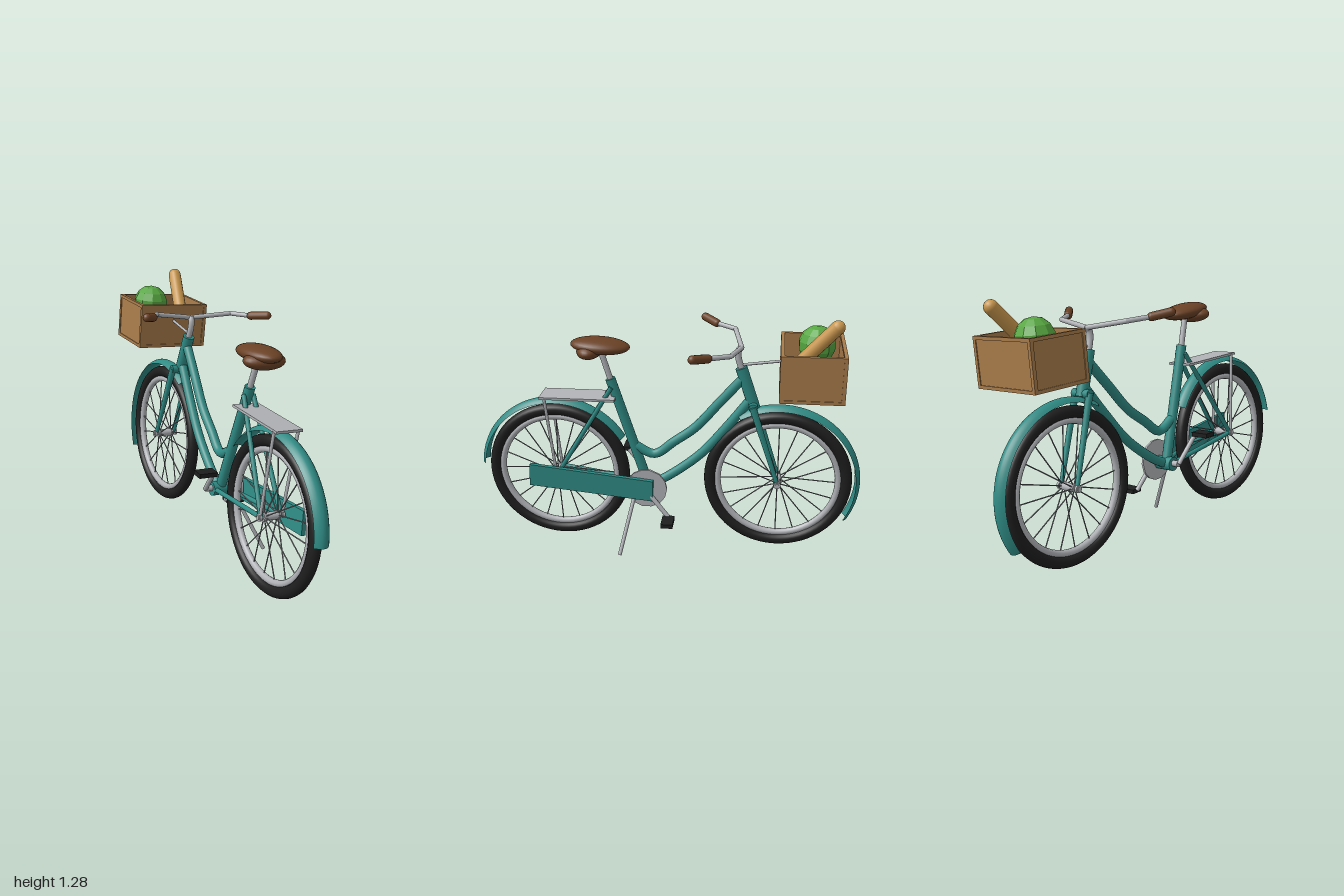
import * as THREE from 'three';

const mat = (name, color, extra = {}) => {
  const m = new THREE.MeshStandardMaterial({ color, ...extra });
  m.name = name;
  return m;
};

export function createModel() {
  const teal = mat('teal paint', 0x2f8a84, { side: THREE.DoubleSide });
  const metal = mat('grey metal', 0xb0b2b6);
  const spokeGrey = mat('spoke grey', 0x808488);
  const rubber = mat('black rubber', 0x1e1e1e);
  const leather = mat('brown leather', 0x6b4226);
  const wood = mat('basket wood', 0xa67a4a);
  const green = mat('cabbage green', 0x56a640, { flatShading: true });
  const crust = mat('bread crust', 0xc8964c);

  const V = (x, y, z) => new THREE.Vector3(x, y, z);
  const bike = new THREE.Group();
  bike.name = 'leaningBicycle';

  function add(name, geo, material, pos, parent = bike) {
    const m = new THREE.Mesh(geo, material);
    m.name = name;
    if (pos) m.position.copy(pos);
    parent.add(m);
    return m;
  }
  const UP = V(0, 1, 0);
  // Align a y-axis geometry with the segment a-b
  function align(mesh, a, b) {
    mesh.position.copy(a).lerp(b, 0.5);
    mesh.quaternion.setFromUnitVectors(UP, b.clone().sub(a).normalize());
    return mesh;
  }
  const rod = (name, a, b, r, material, rEnd = r, parent = bike) =>
    align(add(name, new THREE.CylinderGeometry(rEnd, r, a.distanceTo(b), 14), material, null, parent), a, b);
  const capsule = (name, a, b, r, material) =>
    align(add(name, new THREE.CapsuleGeometry(r, a.distanceTo(b), 6, 14), material), a, b);
  const tube = (name, pts, r, material) =>
    add(name, new THREE.TubeGeometry(new THREE.CatmullRomCurve3(pts, false, 'centripetal'), 40, r, 14), material);
  const box = (name, w, h, d, material, pos) => add(name, new THREE.BoxGeometry(w, h, d), material, pos);

  const rearHub = V(0, 0.41, 0.578), frontHub = V(0, 0.41, -0.575), crankAxis = V(0, 0.35, 0.10);

  // Wheels: tyre, rim, hub and spokes
  function wheel(name, centre) {
    const g = new THREE.Group();
    g.name = name;
    g.position.copy(centre);
    bike.add(g);
    add('tyre', new THREE.TorusGeometry(0.35, 0.03, 14, 64), rubber, null, g).rotation.y = Math.PI / 2;
    add('rim', new THREE.TorusGeometry(0.311, 0.018, 10, 64), metal, null, g).rotation.y = Math.PI / 2;
    rod('hub', V(-0.045, 0, 0), V(0.045, 0, 0), 0.02, metal, 0.02, g);
    rod('axle', V(-0.072, 0, 0), V(0.072, 0, 0), 0.011, metal, 0.011, g);
    for (const s of [-1, 1]) rod('hubNut', V(s * 0.055, 0, 0), V(s * 0.068, 0, 0), 0.018, metal, 0.018, g);
    for (let i = 0; i < 20; i++) {
      const a = (i / 20) * Math.PI * 2, c = Math.cos(a), s = Math.sin(a);
      rod('spoke', V(i % 2 ? 0.035 : -0.035, 0.015 * s, 0.015 * c), V(0, 0.305 * s, 0.305 * c), 0.003, spokeGrey, 0.003, g);
    }
  }
  wheel('rearWheel', rearHub);
  wheel('frontWheel', frontHub);

  // Mudguards: arched sheet swept around the wheel axle
  function mudguard(name, centre, start, end) {
    const profile = [];
    for (let i = -4; i <= 4; i++) profile.push(new THREE.Vector2(0.42 - 0.024 * (i / 4) ** 2, i * 0.01));
    const geo = new THREE.LatheGeometry(profile, 48, start, end - start);
    geo.rotateZ(Math.PI / 2);
    add(name, geo, teal, centre);
  }
  mudguard('rearMudguard', rearHub, 0.09, 2.6);
  mudguard('frontMudguard', frontHub, 1.05, Math.PI + 0.52);

  // Step-through frame
  rod('headTube', V(0, 0.81, -0.445), V(0, 1.02, -0.375), 0.03, teal);
  rod('seatTube', crankAxis, V(0, 0.94, 0.283), 0.026, teal);
  tube('topTube', [V(0, 0.97, -0.39), V(0, 0.83, -0.27), V(0, 0.69, -0.15), V(0, 0.605, -0.04),
    V(0, 0.53, 0.065), V(0, 0.575, 0.165)], 0.024, teal);
  tube('downTube', [V(0, 0.86, -0.43), V(0, 0.7, -0.31), V(0, 0.54, -0.176), V(0, 0.4, 0), V(0, 0.345, 0.1)], 0.024, teal);
  rod('bottomBracket', V(-0.05, 0.35, 0.1), V(0.05, 0.35, 0.1), 0.036, teal);
  rod('forkCrown', V(-0.055, 0.825, -0.44), V(0.055, 0.825, -0.44), 0.022, teal);
  for (const s of [-1, 1]) {
    rod('forkLeg', V(s * 0.048, 0.83, -0.438), V(s * 0.054, 0.41, -0.575), 0.018, teal, 0.011);
    rod('seatStay', V(s * 0.026, 0.9, 0.275), V(s * 0.054, 0.41, 0.578), 0.012, teal);
    rod('chainStay', V(s * 0.035, 0.35, 0.1), V(s * 0.054, 0.41, 0.578), 0.012, teal);
    rod('rackLeg', V(s * 0.064, 0.842, 0.618), V(s * 0.06, 0.41, 0.58), 0.008, metal);
  }

  // Luggage rack
  box('rackPlate', 0.138, 0.012, 0.39, metal, V(0, 0.843, 0.45));

  // Saddle: long pad with a wider rear underneath
  rod('seatPost', V(0, 0.92, 0.277), V(0, 1.1, 0.33), 0.015, metal);
  const pad = add('saddlePad', new THREE.SphereGeometry(1, 28, 18), leather, V(0, 1.113, 0.327));
  pad.scale.set(0.088, 0.04, 0.15);
  pad.rotation.x = -0.06;
  const padRear = add('saddleRear', new THREE.SphereGeometry(1, 28, 18), leather, V(0, 1.091, 0.38));
  padRear.scale.set(0.108, 0.042, 0.065);

  // Stem, handlebar and grips
  tube('stem', [V(0, 1.0, -0.382), V(0, 1.07, -0.36), V(0, 1.105, -0.36), V(0, 1.125, -0.372)], 0.016, metal);
  for (const s of [-1, 1]) {
    const p = [V(0, 1.122, -0.375), V(s * 0.215, 1.15, -0.333), V(s * 0.28, 1.158, -0.232), V(s * 0.342, 1.172, -0.168)];
    rod('handlebar', p[0], p[1], 0.012, metal);
    rod('handlebarEnd', p[1], p[2], 0.012, metal);
    add('handlebarBend', new THREE.SphereGeometry(0.0125, 12, 8), metal, p[1]);
    capsule('grip', p[2], p[3], 0.021, leather);
  }

  // Chain case with chainring behind it
  const outline = new THREE.Shape([[-0.72, 0.362], [-0.065, 0.3], [-0.062, 0.415], [-0.712, 0.482]]
    .map(([x, y]) => new THREE.Vector2(x, y)));
  const caseGeo = new THREE.ExtrudeGeometry(outline, { depth: 0.022, bevelEnabled: false });
  caseGeo.rotateY(Math.PI / 2);
  add('chainCase', caseGeo, teal, V(0.08, 0, 0));
  rod('chainring', V(0.062, 0.36, 0.1), V(0.074, 0.36, 0.1), 0.108, metal).name = 'chainring';
  rod('crankAxle', V(-0.085, 0.355, 0.1), V(0.085, 0.355, 0.1), 0.016, metal);

  // Cranks and pedals on opposite sides
  for (const s of [-1, 1]) {
    const end = V(s * 0.112, 0.355 - s * 0.14, 0.1 - s * 0.12);
    rod('crank', V(s * 0.085, 0.355, 0.1), end, 0.012, metal);
    box('pedal', 0.096, 0.022, 0.062, rubber, end.clone().add(V(s * 0.047, 0, 0)));
  }

  // Kickstand
  rod('kickstand', V(0.035, 0.36, 0.155), V(0.218, 0.034, 0.228), 0.01, metal);

  // Basket: open box with thin trim on its edges
  const bw = 0.38, bh = 0.225, bd = 0.3, by = 1.032, bz = -0.717, t = 0.012;
  rod('basketBracket', V(0, 1.035, -0.38), V(0, 1.06, -0.57), 0.007, metal);
  box('basketFloor', bw, t, bd, wood, V(0, by - bh / 2 + t / 2, bz));
  for (const s of [-1, 1]) {
    box('basketSide', t, bh, bd, wood, V(s * (bw - t) / 2, by, bz));
    box('basketEnd', bw, bh, t, wood, V(0, by, bz + s * (bd - t) / 2));
    for (const e of [-1, 1]) {
      box('basketPost', 0.018, bh + 0.008, 0.018, wood, V(s * (bw / 2 - 0.005), by, bz + e * (bd / 2 - 0.005)));
      box('basketSideRail', 0.018, 0.016, bd, wood, V(s * (bw / 2 - 0.005), by + e * (bh / 2 - 0.004), bz));
      box('basketEndRail', bw, 0.016, 0.018, wood, V(0, by + e * (bh / 2 - 0.004), bz + s * (bd / 2 - 0.005)));
    }
  }

  // Groceries
  add('cabbage', new THREE.SphereGeometry(0.093, 10, 7), green, V(-0.067, 1.128, -0.737));
  capsule('breadLoaf', V(0.08, 1.06, -0.635), V(0.108, 1.268, -0.818), 0.034, crust);

  // Lean the whole bicycle onto its kickstand
  bike.rotation.z = -0.105;
  bike.position.set(-0.122, 0.003, 0);
  const model = new THREE.Group();
  model.name = 'bicycle';
  model.add(bike);
  return model;
}
